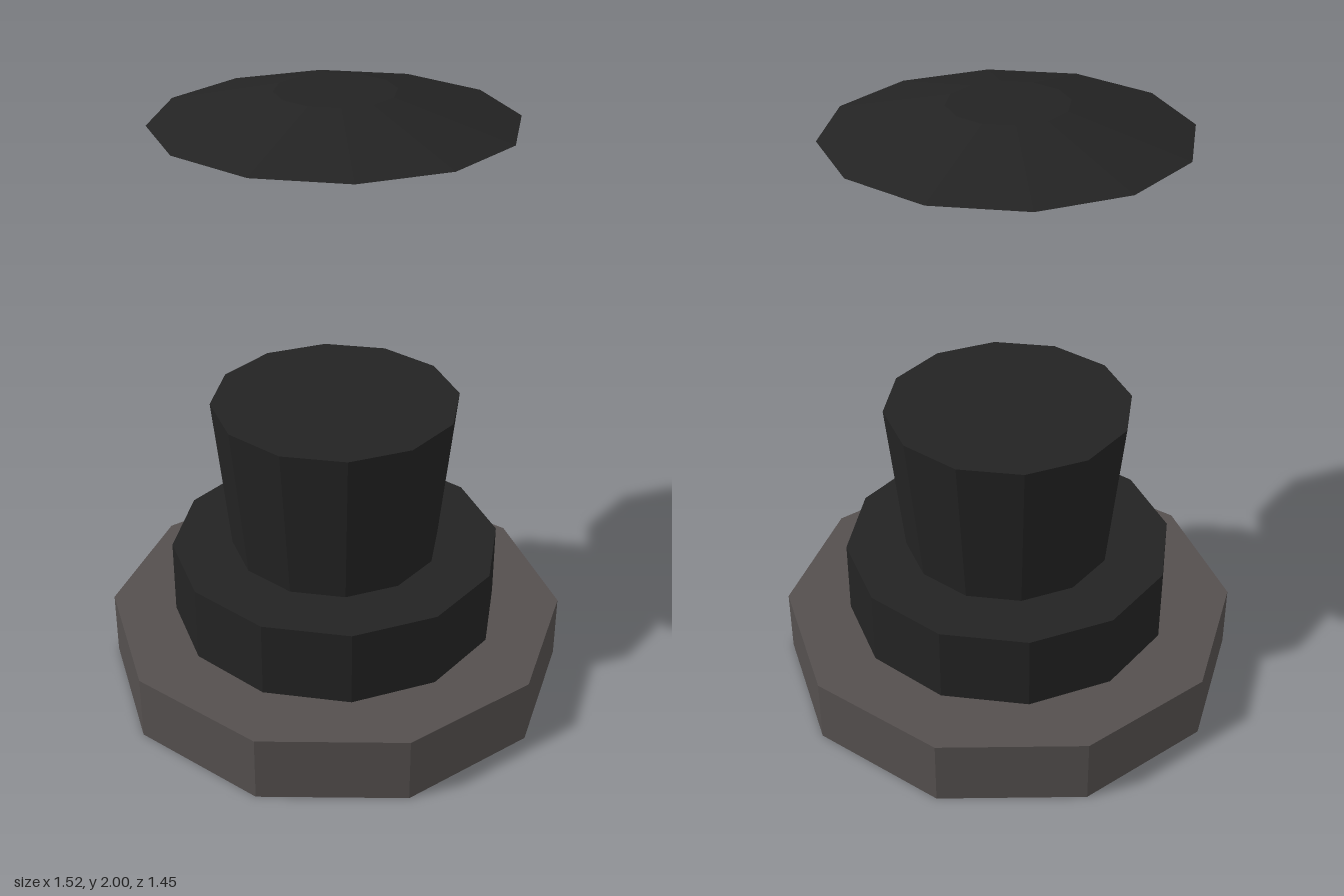
import * as THREE from 'three';

const stone = new THREE.MeshStandardMaterial({ color: 0x544f4e, flatShading: true });
stone.name = 'warmGrey';
const dark = new THREE.MeshStandardMaterial({ color: 0x232323, flatShading: true });
dark.name = 'nearBlack';

// Faceted, closed tapered drum between two heights, with one corner on the +x axis
function drum(name, material, sides, bottomRadius, topRadius, y0, y1) {
  const geometry = new THREE.CylinderGeometry(
    topRadius, bottomRadius, y1 - y0, sides, 1, false, Math.PI / 2);
  geometry.translate(0, (y0 + y1) / 2, 0);
  const mesh = new THREE.Mesh(geometry, material);
  mesh.name = name;
  return mesh;
}

export function createModel() {
  const model = new THREE.Group();
  model.name = 'pedestalWithFloatingCap';
  model.add(
    // ten-sided foot
    drum('base', stone, 10, 0.762, 0.762, 0, 0.22),
    // twelve-sided collar and flaring neck
    drum('collar', dark, 12, 0.545, 0.545, 0.22, 0.475),
    drum('neck', dark, 12, 0.345, 0.4, 0.475, 1),
    // shallow cap floating above
    drum('cap', dark, 12, 0.545, 0.18, 1.91, 2)
  );
  return model;
}
